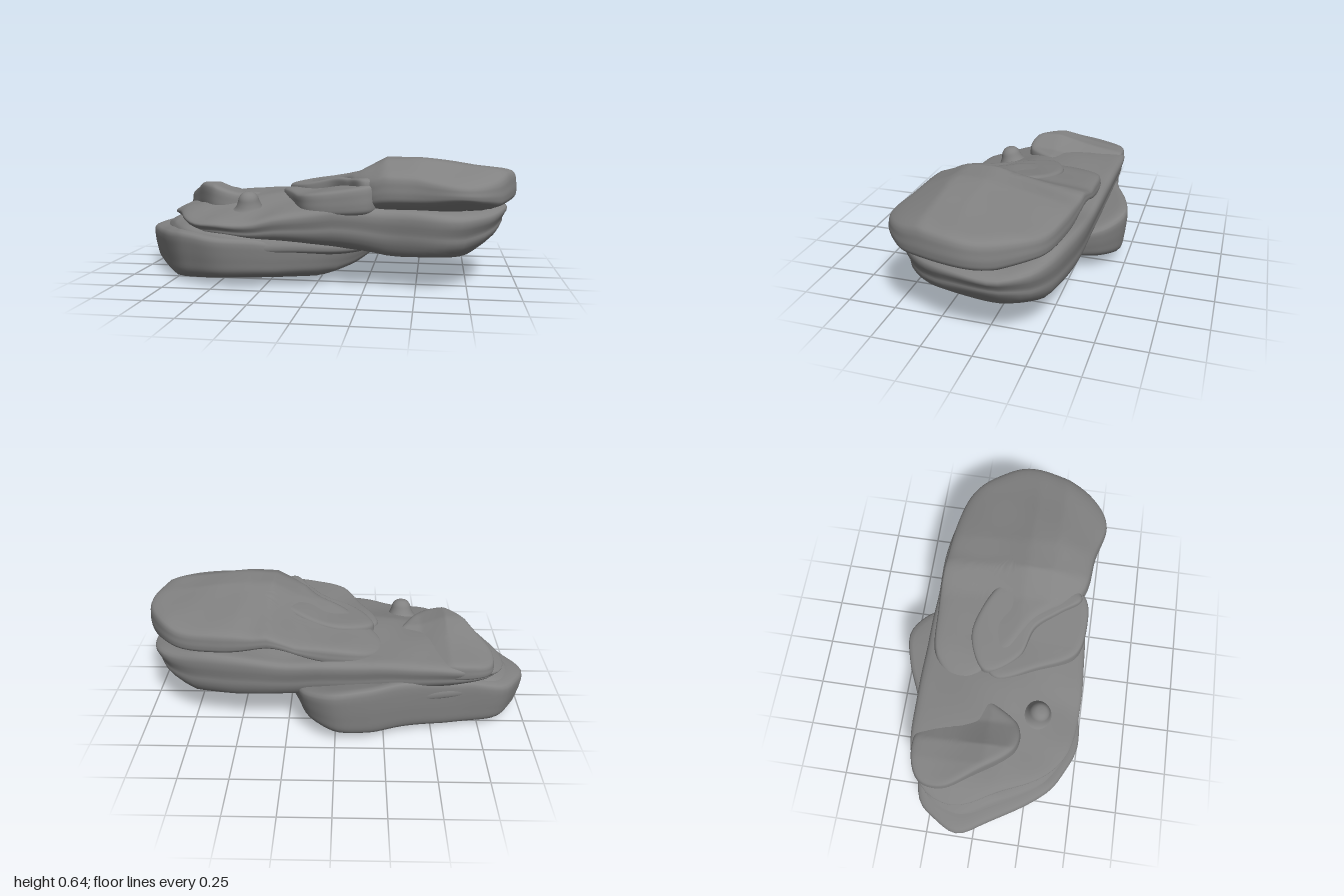
import * as THREE from 'three';

const material = new THREE.MeshStandardMaterial({ color: 0x828282 });
const { smoothstep } = THREE.MathUtils;

// piecewise-linear lookup through [position, value] stations
function lerpStations(stations, x) {
  if (x <= stations[0][0]) return stations[0][1];
  for (let i = 1; i < stations.length; i++) {
    const [x0, y0] = stations[i - 1], [x1, y1] = stations[i];
    if (x <= x1) return y0 + (y1 - y0) * (x - x0) / (x1 - x0);
  }
  return stations[stations.length - 1][1];
}

// smooth weathering, fixed by position
const bumps = (x, y, z, s) =>
  Math.sin(x * 7 + s + 2 * Math.sin(z * 4 + s)) * 0.5 +
  Math.sin(z * 11 - x * 5 + y * 14 + s * 2.3) * 0.3 +
  Math.sin(x * 19 + z * 13 + s * 1.7) * 0.2;

// hollow worn between the middle and top beds at the back
const pocket = (x, z) => 0.05 * Math.exp(-((x - 0.3) ** 2 * 25 + (z + 0.33) ** 2 * 50));

// edge profiles: [distance from the middle, height fraction]
const WORN = [[0, 0], [0.4, 0], [0.75, 0], [0.9, 0.05], [0.98, 0.2], [1, 0.42], [0.985, 0.62], [0.95, 0.82], [0.87, 0.96], [0.7, 1], [0.4, 1], [0, 1]];
const BLOCKY = [[0, 0], [0.4, 0], [0.8, 0], [0.92, 0.02], [0.955, 0.1], [0.98, 0.35], [0.995, 0.6], [1, 0.85], [0.985, 0.95], [0.94, 0.99], [0.8, 1], [0.4, 1], [0, 1]];
const CAP = [[0, 0], [0.4, 0], [0.8, 0], [0.92, 0.03], [0.98, 0.12], [1, 0.35], [0.995, 0.6], [0.985, 0.82], [0.96, 0.94], [0.9, 0.99], [0.75, 1], [0.4, 1], [0, 1]];
const BEDDED = [[0, 0], [0.4, 0], [0.75, 0], [0.88, 0.04], [0.95, 0.2], [0.975, 0.36], [0.975, 0.46], [0.985, 0.56], [1, 0.72], [0.99, 0.88], [0.94, 0.97], [0.75, 1], [0.4, 1], [0, 1]];

// a rock bed: outline in plan, top and bottom heights, and an edge profile
function slab(name, { outline, top, bottom, profile = WORN, seed = 0, rough = 0.012 }) {
  const SEG = 96, RINGS = 52;
  const plan = new THREE.CatmullRomCurve3(outline.map(([x, z]) => new THREE.Vector3(x, 0, z)), true, 'centripetal').getSpacedPoints(SEG);
  const edge = new THREE.CatmullRomCurve3(profile.map(([r, h]) => new THREE.Vector3(r, h, 0)), false, 'centripetal');
  let cx = 0, cz = 0;
  for (let i = 0; i < SEG; i++) { cx += plan[i].x / SEG; cz += plan[i].z / SEG; }
  const positions = [], index = [];
  for (let j = 0; j <= RINGS; j++) {
    const p = edge.getPointAt(j / RINGS);
    const r = Math.max(0, p.x);
    for (let i = 0; i < SEG; i++) {
      let x = cx + (plan[i].x - cx) * r, z = cz + (plan[i].z - cz) * r;
      const lo = bottom(x, z), hi = top(x, z);
      let y = lo + (hi - lo) * p.y;
      const n = bumps(x, y, z, seed) * rough;
      y += n * 0.8;
      x += (plan[i].x - cx) * n * r;
      z += (plan[i].z - cz) * n * r;
      positions.push(x, Math.max(0, y), z);
      if (j < RINGS) {
        const a = j * SEG + i, b = j * SEG + (i + 1) % SEG;
        index.push(a, b, a + SEG, b, b + SEG, a + SEG);
      }
    }
  }
  const g = new THREE.BufferGeometry();
  g.setAttribute('position', new THREE.Float32BufferAttribute(positions, 3));
  g.setIndex(index);
  g.computeVertexNormals();
  const mesh = new THREE.Mesh(g, material);
  mesh.name = name;
  return mesh;
}

// outlines run from the left end along +z, so faces point outward
export function createModel() {
  const group = new THREE.Group();
  group.name = 'layeredRock';

  // lowest bed, resting on the ground
  group.add(slab('baseSlab', {
    outline: [[-0.995, -0.08], [-0.93, 0.06], [-0.73, 0.36], [-0.62, 0.43], [-0.47, 0.49], [-0.2, 0.45], [0.04, 0.36], [0.2, 0.18], [0.29, 0], [0.2, -0.28], [0.15, -0.41], [0.02, -0.495], [-0.15, -0.47], [-0.35, -0.39], [-0.65, -0.33], [-0.87, -0.285], [-0.94, -0.2]],
    bottom: (x, z) => lerpStations([[-1, 0.03], [-0.9, 0.015], [-0.55, 0.005], [-0.2, 0.015], [0, 0.035], [0.18, 0.08], [0.32, 0.15]], x)
      + Math.max(0, -z - 0.15) * 0.1 + Math.max(0, z - 0.28) * 0.3,
    top: (x, z) => lerpStations([[-1, 0.225], [-0.7, 0.27], [-0.3, 0.25], [0.05, 0.21], [0.32, 0.18]], x)
      + Math.max(0, -z - 0.1) * 0.27 * smoothstep(x, -0.9, -0.3),
    profile: BLOCKY, seed: 1, rough: 0.01,
  }));

  // thin bed between the base and the middle
  group.add(slab('lowerLedge', {
    outline: [[-0.93, -0.1], [-0.85, 0.08], [-0.68, 0.36], [-0.45, 0.47], [-0.1, 0.43], [0.12, 0.34], [0.25, 0.18], [0.28, -0.05], [0.15, -0.32], [-0.3, -0.37], [-0.65, -0.33], [-0.87, -0.26]],
    bottom: (x) => lerpStations([[-1, 0.2], [-0.3, 0.16], [0.3, 0.14]], x),
    top: (x) => lerpStations([[-1, 0.25], [-0.8, 0.3], [-0.4, 0.29], [0.3, 0.24]], x),
    seed: 2.4,
  }));

  // long middle bed reaching from end to end
  group.add(slab('middleSlab', {
    outline: [[-0.88, -0.12], [-0.8, 0.08], [-0.62, 0.38], [-0.43, 0.465], [0, 0.46], [0.35, 0.42], [0.68, 0.45], [0.83, 0.33], [0.93, 0.12], [0.965, -0.1], [0.88, -0.25], [0.6, -0.35], [0.2, -0.37], [-0.25, -0.38], [-0.65, -0.36], [-0.83, -0.27]],
    bottom: (x, z) => lerpStations([[-0.9, 0.25], [-0.2, 0.21], [0.1, 0.19], [0.35, 0.165], [0.73, 0.155], [0.88, 0.205], [0.96, 0.27]], x) + Math.max(0, -z - 0.1) * 0.12 + Math.max(0, z - 0.3) * 0.15,
    top: (x, z) => lerpStations([[-0.9, 0.31], [-0.75, 0.37], [-0.5, 0.41], [-0.2, 0.43], [0.1, 0.43], [0.6, 0.41], [0.96, 0.4]], x)
      - Math.max(0, z - 0.1) * lerpStations([[-0.6, 0.24], [-0.3, 0.22], [0.1, 0.05]], x)
      + Math.max(0, -z - 0.1) * 0.18 * smoothstep(x, 0, 0.4) - pocket(x, z),
    profile: BEDDED, seed: 3.1, rough: 0.014,
  }));

  // raised block at the low end, highest at its front corner
  group.add(slab('endBlock', {
    outline: [[-0.81, -0.18], [-0.72, -0.02], [-0.57, 0.17], [-0.45, 0.17], [-0.33, 0], [-0.22, -0.18], [-0.35, -0.3], [-0.65, -0.36], [-0.79, -0.3]],
    bottom: () => 0.31,
    top: (x, z) => lerpStations([[-0.8, 0.45], [-0.68, 0.48], [-0.58, 0.485], [-0.45, 0.44], [-0.22, 0.42]], x) - Math.max(0, 0.02 - z) * 0.22,
    profile: CAP, seed: 4.2,
  }));

  // small knob with a flared foot
  const knobProfile = [[0.11, 0], [0.075, 0.02], [0.058, 0.05], [0.048, 0.08], [0.028, 0.1], [0, 0.105]].map(([r, y]) => new THREE.Vector2(r, y));
  const knob = new THREE.Mesh(new THREE.LatheGeometry(new THREE.SplineCurve(knobProfile).getPoints(16), 24), material);
  knob.name = 'knob';
  knob.position.set(-0.36, 0.355, 0.25);
  knob.rotation.x = 0.2;
  group.add(knob);

  // broken stepped pieces beside the top bed
  group.add(slab('stepPiece', {
    outline: [[-0.22, 0], [-0.14, 0.22], [-0.04, 0.41], [0.1, 0.45], [0.28, 0.42], [0.32, 0.2], [0.15, 0], [-0.05, -0.1]],
    bottom: () => 0.36,
    top: (x) => lerpStations([[-0.22, 0.455], [0, 0.475], [0.3, 0.52]], x),
    profile: CAP, seed: 5.3,
  }));
  group.add(slab('upperStepPiece', {
    outline: [[-0.2, -0.05], [-0.1, 0.12], [0.06, 0.18], [0.16, 0.3], [0.25, 0.41], [0.36, 0.3], [0.3, 0], [0, -0.15]],
    bottom: () => 0.4,
    top: (x) => lerpStations([[-0.2, 0.48], [0, 0.51], [0.25, 0.55]], x),
    profile: CAP, seed: 6.1,
  }));

  // topmost bed, overhanging the high end
  group.add(slab('topSlab', {
    outline: [[-0.25, -0.18], [-0.12, 0.02], [0.1, 0.18], [0.28, 0.41], [0.5, 0.45], [0.73, 0.49], [0.88, 0.39], [0.97, 0.2], [0.995, 0], [0.93, -0.14], [0.8, -0.27], [0.6, -0.325], [0.4, -0.345], [0.1, -0.345], [-0.15, -0.31]],
    bottom: (x, z) => lerpStations([[-0.25, 0.37], [0.3, 0.39], [0.8, 0.395], [1, 0.42]], x)
      + Math.max(0, -z - 0.1) * 0.18 * smoothstep(x, 0, 0.4) + Math.max(0, z - 0.36) * 0.4 + pocket(x, z),
    top: (x, z) => lerpStations([[-0.25, 0.445], [-0.1, 0.5], [0.2, 0.565], [0.34, 0.635], [0.5, 0.635], [0.75, 0.605], [1, 0.58]], x)
      - Math.max(0, 0.1 - z) * lerpStations([[-0.25, 0.08], [0.1, 0.13], [0.4, 0.2], [0.8, 0.17], [1, 0.1]], x)
      - Math.max(0, z - 0.25) * 0.36,
    profile: CAP, seed: 7.7, rough: 0.01,
  }));

  return group;
}
